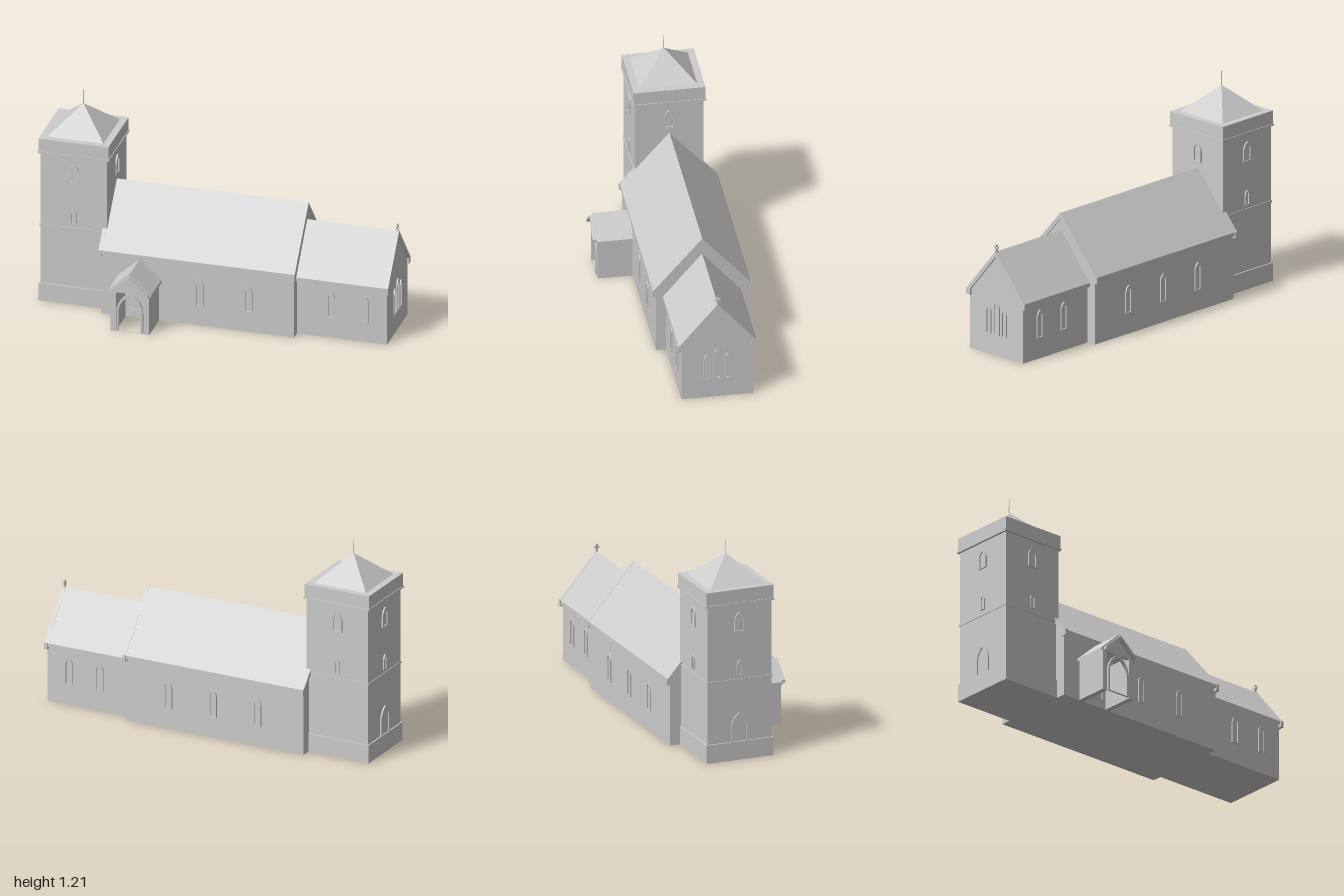
import * as THREE from 'three';

const stone = new THREE.MeshStandardMaterial({ color: 0xcccccc });
stone.name = 'pale stone';
const ZC = -0.1; // long axis of the church
const TX = -0.8; // tower centre

export function createModel() {
  const root = new THREE.Group();
  root.name = 'church';

  const add = (name, geo, x = 0, y = 0, z = 0, ry = 0, parent = root) => {
    const m = new THREE.Mesh(geo, stone);
    m.name = name;
    m.position.set(x, y, z);
    m.rotation.y = ry;
    parent.add(m);
    return m;
  };
  // box given by its limits
  const box = (name, x0, x1, y0, y1, z0, z1) =>
    add(name, new THREE.BoxGeometry(x1 - x0, y1 - y0, z1 - z0), (x0 + x1) / 2, (y0 + y1) / 2, (z0 + z1) / 2);
  const poly = (pts) => new THREE.Shape(pts.map(([x, y]) => new THREE.Vector2(x, y)));
  const extrude = (shape, depth) =>
    new THREE.ExtrudeGeometry(shape, { depth, bevelEnabled: false, curveSegments: 6 });

  // gabled wall block and bent roof slab, both running along local z
  const gable = (h, base, eave, ridge, len) =>
    extrude(poly([[-h, base], [h, base], [h, eave], [0, ridge], [-h, eave]]), len);
  const chevron = (h, eave, ridge, t, len) =>
    extrude(poly([[-h, eave - t], [0, ridge - t], [h, eave - t], [h, eave], [0, ridge], [-h, eave]]), len);

  // pointed arch outline
  const arch = (w, h, y0 = 0) => {
    const s = new THREE.Shape();
    const r = w / 2, spring = y0 + h - w * 0.8;
    s.moveTo(-r, y0);
    s.lineTo(r, y0);
    s.lineTo(r, spring);
    s.quadraticCurveTo(r, spring + w * 0.5, 0, y0 + h);
    s.quadraticCurveTo(-r, spring + w * 0.5, -r, spring);
    s.closePath();
    return s;
  };
  // arched opening: raised surround with a recessed panel
  const opening = (name, w, h, x, y, z, ry) => {
    const g = new THREE.Group();
    g.name = name;
    g.position.set(x, y, z);
    g.rotation.y = ry;
    root.add(g);
    const t = Math.min(0.011, w * 0.22);
    const ring = arch(w, h);
    ring.holes.push(arch(w - 2 * t, h - 1.6 * t, t * 0.5));
    add('surround', extrude(ring, 0.011), 0, 0, -0.003, 0, g);
    add('panel', extrude(arch(w - t, h - t, t * 0.3), 0.004), 0, 0, -0.003, 0, g);
  };
  const S = 0, N = Math.PI, E = Math.PI / 2, W = -Math.PI / 2;

  // nave and chancel: walls, roof, gable copings and kneelers
  const hall = (name, x0, x1, half, wallTop, ridge, roof) => {
    const t = 0.022;
    add(name + 'Walls', gable(half, 0, wallTop, ridge - t, x1 - x0), x0, 0, ZC, E);
    add(name + 'Roof', chevron(roof.half, roof.eave, ridge, t, roof.x1 - roof.x0), roof.x0, 0, ZC, E);
    for (const x of roof.copings) {
      add(name + 'Coping', chevron(roof.half, roof.eave + 0.002, ridge + 0.002, 0.034, 0.018), x, 0, ZC, E);
      for (const s of [-1, 1]) {
        const z = ZC + s * (roof.half - 0.011);
        box(name + 'Kneeler', x, x + 0.018, roof.eave - 0.035, roof.eave + 0.002, z - 0.016, z + 0.016);
      }
    }
  };
  hall('nave', -0.625, 0.473, 0.256, 0.375, 0.70,
    { x0: -0.625, x1: 0.475, half: 0.272, eave: 0.387, copings: [-0.635, 0.463] });
  hall('chancel', 0.46, 0.985, 0.2, 0.345, 0.60,
    { x0: 0.46, x1: 0.99, half: 0.216, eave: 0.345, copings: [0.978] });

  // gable cross on the chancel
  box('crossPost', 0.981, 0.991, 0.59, 0.64, ZC - 0.005, ZC + 0.005);
  box('crossArm', 0.981, 0.991, 0.618, 0.628, ZC - 0.015, ZC + 0.015);

  // tower stages
  const square = (name, h, y0, y1) => box(name, TX - h, TX + h, y0, y1, ZC - h, ZC + h);
  square('towerPlinth', 0.198, 0, 0.105);
  square('towerBody', 0.19, 0.1, 0.91);
  square('stringCourse', 0.194, 0.452, 0.464);
  square('parapetMoulding', 0.203, 0.894, 0.905);
  square('parapet', 0.199, 0.9, 0.98);

  // pyramid roof and finial
  const pyramid = new THREE.ConeGeometry(0.16 * Math.SQRT2, 0.15, 4, 1).toNonIndexed();
  pyramid.rotateY(Math.PI / 4);
  pyramid.computeVertexNormals();
  add('towerRoof', pyramid, TX, 1.055, ZC);
  add('finial', new THREE.CylinderGeometry(0.002, 0.003, 0.1, 8), TX, 1.163, ZC);

  // tower openings
  for (const ry of [S, N, E, W]) {
    const at = (w, h, y, name) =>
      opening(name, w, h, TX + Math.sin(ry) * 0.19, y, ZC + Math.cos(ry) * 0.19, ry);
    at(0.062, 0.113, 0.735, 'belfryWindow');
    if (ry !== E) at(0.034, 0.085, 0.485, 'slitWindow');
    if (ry === W) at(0.1, 0.17, 0.1, 'westDoor');
  }

  // side windows
  for (const x of [0.21, -0.065, -0.34]) {
    if (x > -0.3) opening('naveWindow', 0.05, 0.16, x, 0.12, ZC + 0.256, S);
    opening('naveWindow', 0.05, 0.16, x, 0.12, ZC - 0.256, N);
  }
  for (const x of [0.665, 0.855]) {
    opening('chancelWindow', 0.05, 0.16, x, 0.12, ZC + 0.2, S);
    opening('chancelWindow', 0.05, 0.16, x, 0.12, ZC - 0.2, N);
  }

  // triple east window
  for (const i of [-1, 0, 1])
    opening('eastWindow', i ? 0.038 : 0.048, i ? 0.155 : 0.19, 0.985, 0.12, ZC + i * 0.058, E);

  // south porch with open front
  const PX = -0.405;
  for (const s of [-1, 1]) {
    const x = PX + s * 0.095;
    box('porchWall', x - 0.015, x + 0.015, 0, 0.25, 0.15, 0.35);
  }
  add('porchGable', extrude(poly([[-0.108, 0.235], [0.108, 0.235], [0, 0.335]]), 0.02), PX, 0, 0.332);
  add('porchRoof', chevron(0.123, 0.245, 0.357, 0.018, 0.205), PX, 0, 0.15);
  add('porchBargeboard', chevron(0.108, 0.25, 0.345, 0.016, 0.025), PX, 0, 0.352);
  const frame = arch(0.15, 0.235);
  frame.holes.push(arch(0.125, 0.215, 0.001));
  add('porchArch', extrude(frame, 0.012), PX, 0.005, 0.344);
  opening('southDoor', 0.125, 0.195, PX, 0.045, ZC + 0.256, S);

  return root;
}
